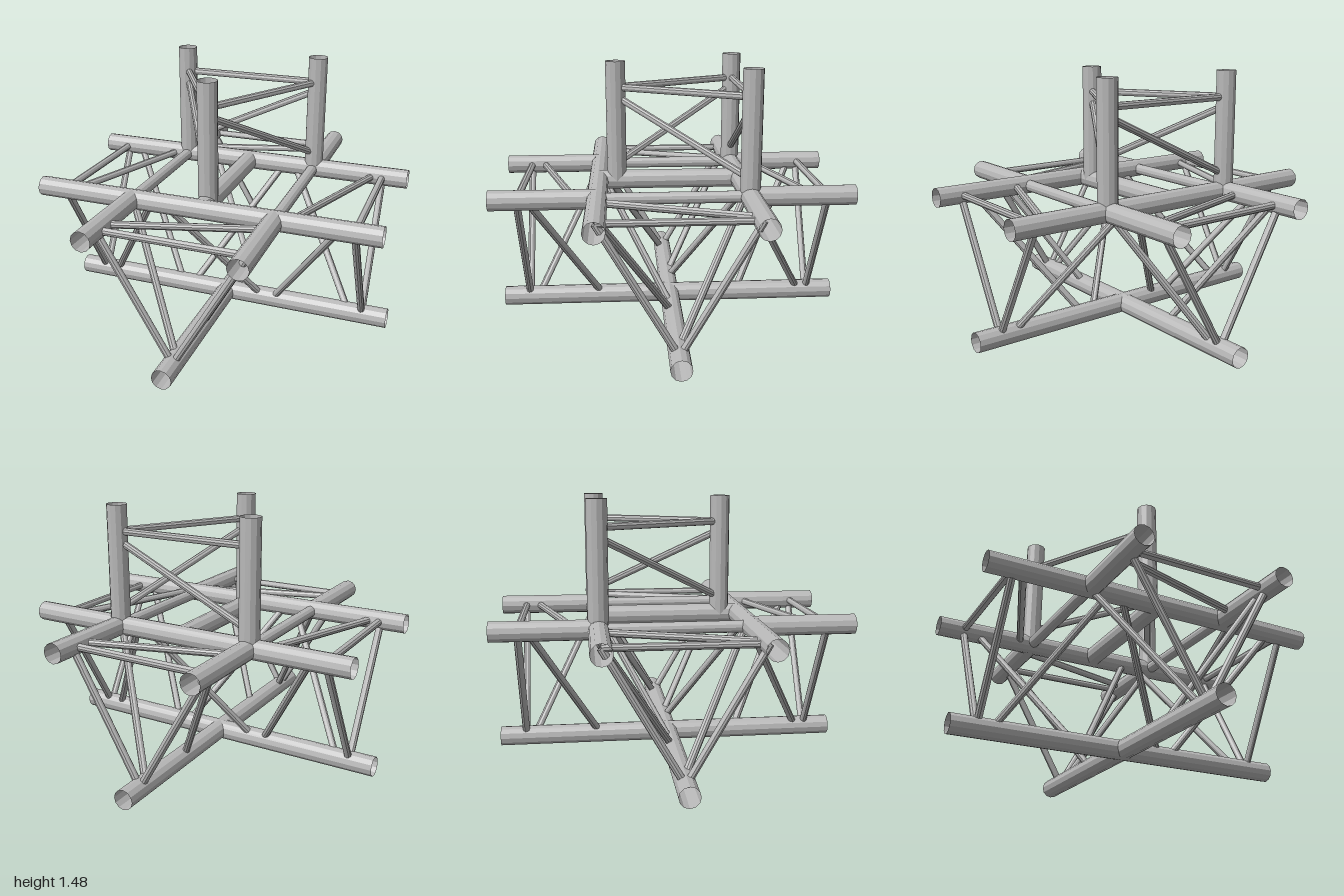
import * as THREE from 'three';

const R = 0.057;    // main chord radius
const r = 0.021;    // brace radius
const W = 0.418;    // half spacing of the upper chords
const TOP = 0.783;  // upper chord height
const LOW = R;      // lower chord height

export function createModel() {
  const model = new THREE.Group();
  const metal = new THREE.MeshStandardMaterial({ color: 0xb8b8b8, flatShading: true, side: THREE.DoubleSide });
  metal.name = 'aluminiumGrey';

  // Open tube between two points
  function tube(parent, name, a, b, radius, sides) {
    const p = new THREE.Vector3(...a), q = new THREE.Vector3(...b);
    const dir = q.clone().sub(p);
    const mesh = new THREE.Mesh(new THREE.CylinderGeometry(radius, radius, dir.length(), sides, 1, true), metal);
    mesh.name = name;
    mesh.position.copy(p).add(q).multiplyScalar(0.5);
    mesh.quaternion.setFromUnitVectors(new THREE.Vector3(0, 1, 0), dir.normalize());
    parent.add(mesh);
  }
  const chord = (g, name, a, b) => tube(g, name, a, b, R, 12);
  const brace = (g, name, a, b) => tube(g, name, a, b, r, 10);
  function group(name) {
    const g = new THREE.Group();
    g.name = name;
    model.add(g);
    return g;
  }
  // Triangular frame joining three chords
  function frame(g, pts) {
    pts.forEach((p, i) => brace(g, 'frameBrace', p, pts[(i + 1) % 3]));
  }

  // Long truss running along x
  const main = group('mainTruss');
  for (const s of [-1, 1]) chord(main, 'upperChord', [-1, TOP, s * W], [1, TOP, s * W]);
  chord(main, 'lowerChord', [-1, LOW, 0], [1, LOW, 0]);
  for (const s of [-1, 1]) {
    const x = s * 0.85;
    frame(main, [[x, TOP, W], [x, TOP, -W], [x, LOW, 0]]);
    brace(main, 'topDiagonal', [s * 0.645 - 0.155, TOP, W], [s * 0.645 + 0.155, TOP, -W]);
  }
  // side diagonals: [upper x, lower x] on the front face, then the back face
  const frontDiagonals = [[-0.30, -0.77], [-0.23, 0.23], [0.77, 0.30]];
  const backDiagonals = [[-0.77, -0.30], [0.23, -0.23], [0.30, 0.77]];
  for (const [a, b] of frontDiagonals) brace(main, 'frontDiagonal', [a, TOP, W], [b, LOW, 0]);
  for (const [a, b] of backDiagonals) brace(main, 'backDiagonal', [a, TOP, -W], [b, LOW, 0]);

  // Front and back arms; the back one is the front one turned half round
  for (const s of [1, -1]) {
    const arm = group(s > 0 ? 'frontArm' : 'backArm');
    const at = (x, y, z) => [s * x, y, s * z];
    for (const x of [-W, W]) chord(arm, 'upperChord', at(x, TOP, W), at(x, TOP, 1));
    chord(arm, 'lowerChord', at(0, LOW, 0), at(0, LOW, 1));
    frame(arm, [at(-W, TOP, 0.85), at(W, TOP, 0.85), at(0, LOW, 0.85)]);
    brace(arm, 'topDiagonal', at(-W, TOP, 0.775), at(W, TOP, 0.535));
    brace(arm, 'sideDiagonal', at(W, TOP, 0.80), at(0, LOW, 0.41));
    brace(arm, 'sideDiagonal', at(-W, TOP, 0.41), at(0, LOW, 0.80));
  }

  // Cross members between the upper chords
  const cross = group('crossMembers');
  chord(cross, 'centreCrossTube', [0, TOP, -W], [0, TOP, W]);
  for (const x of [-W, W]) tube(cross, 'sideCrossTube', [x, TOP, -W], [x, TOP, W], 0.034, 12);

  // Upright arm
  const tower = group('uprightArm');
  const left = y => [W, y, -W], right = y => [-W, y, -W], front = y => [0, y, 0.31];
  for (const post of [left, right, front]) chord(tower, 'post', post(TOP), post(1.48));
  frame(tower, [left(1.33), right(1.33), front(1.33)]);
  brace(tower, 'backDiagonal', right(0.88), left(1.28));
  brace(tower, 'leftDiagonal', front(1.28), left(0.88));
  brace(tower, 'rightDiagonal', right(1.28), front(0.88));

  return model;
}
